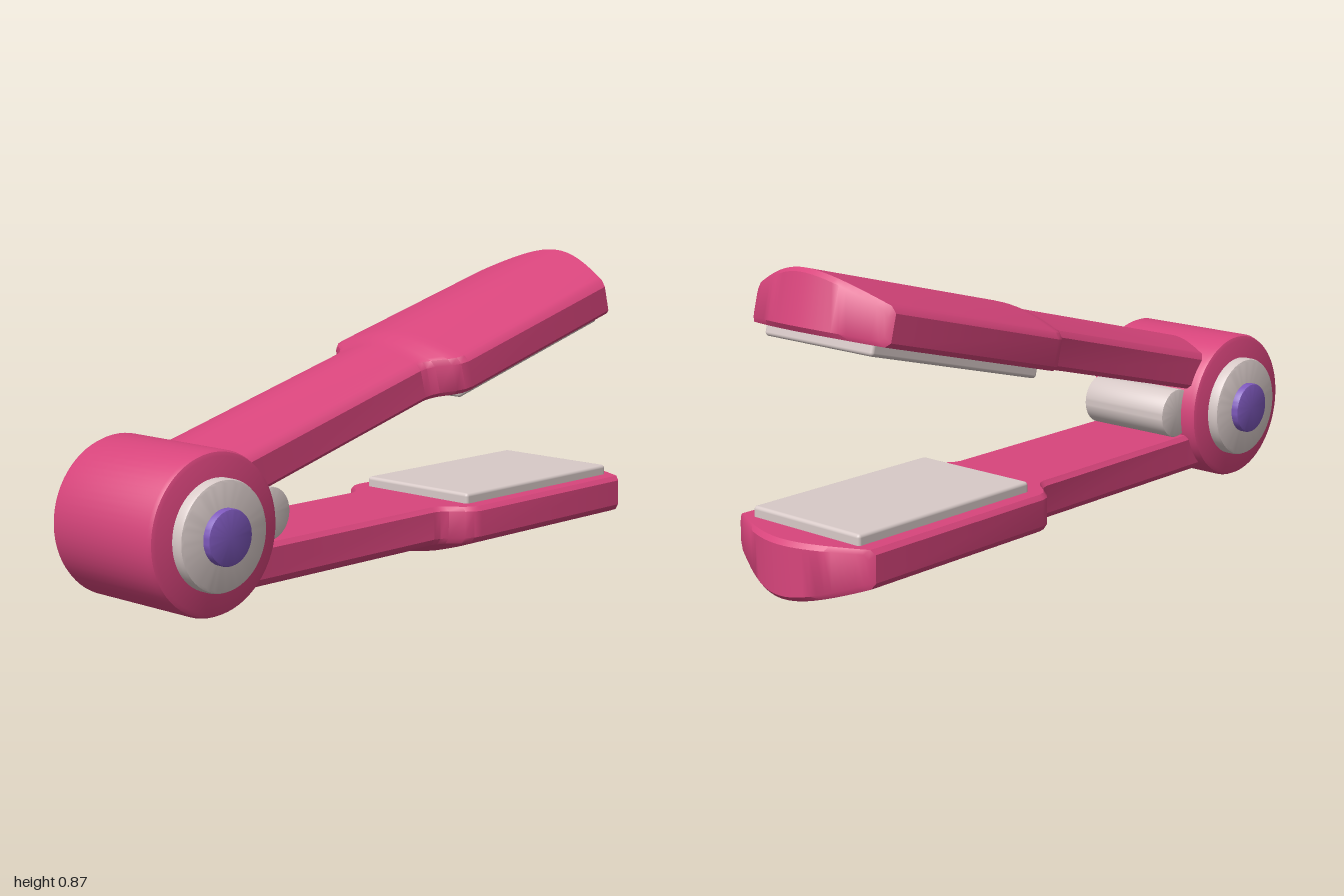
import * as THREE from 'three';
import { toCreasedNormals } from 'three/addons/utils/BufferGeometryUtils.js';
import { RoundedBoxGeometry } from 'three/addons/geometries/RoundedBoxGeometry.js';

const pink = new THREE.MeshStandardMaterial({ color: 0xd8457c });
pink.name = 'pink shell';
const cream = new THREE.MeshStandardMaterial({ color: 0xd8cac8 });
cream.name = 'warm grey';
const purple = new THREE.MeshStandardMaterial({ color: 0x7d58bb });
purple.name = 'purple';

const BEVEL = 0.013;
const HINGE = [-0.775, 0.235, 0];

function add(parent, name, geometry, material, x = 0, y = 0, z = 0) {
  const mesh = new THREE.Mesh(geometry, material);
  mesh.name = name;
  mesh.position.set(x, y, z);
  parent.add(mesh);
  return mesh;
}

// Bevelled cylinder lying along z
function drum(radius, half, bevel) {
  const profile = [
    [0, -half], [radius - bevel, -half], [radius - bevel * 0.3, -half + bevel * 0.3], [radius, -half + bevel],
    [radius, half - bevel], [radius - bevel * 0.3, half - bevel * 0.3], [radius - bevel, half], [0, half],
  ].map(([r, y]) => new THREE.Vector2(r, y));
  const geometry = new THREE.LatheGeometry(profile, 64);
  geometry.rotateX(Math.PI / 2);
  return toCreasedNormals(geometry, 0.5);
}

// Rounded ridge: 1 in the middle, 0 at the sides
function ridge(t) {
  const a = 0.6;
  return 1 - (Math.sqrt(t * t + a * a) - a) / (Math.sqrt(1 + a * a) - a);
}

// Arm lofted along x: flat inner face at y = 0, ridged outer face below
function armGeometry() {
  // position, half width, side depth, middle depth, tip bulge, edge inset
  const sections = [
    [0.06, 0.175, 0.108, 0.156, 0, 0],
    [0.89, 0.175, 0.108, 0.156, 0, 0],
    [0.91, 0.181, 0.108, 0.157, 0, 0],
    [0.93, 0.196, 0.107, 0.159, 0, 0],
    [0.96, 0.235, 0.105, 0.164, 0, 0],
    [0.98, 0.253, 0.104, 0.166, 0, 0],
    [1.005, 0.26, 0.103, 0.167, 0, 0],
    [1.667, 0.26, 0.103, 0.167, 0.09, 0],
    [1.68, 0.26, 0.103, 0.167, 0.09, BEVEL],
  ];
  const steps = 24;
  const columns = steps + 3;
  const ring = columns * 2;
  const positions = [];
  const index = [];
  for (const [x, width, side, depth, bulge, inset] of sections) {
    const w = width - inset;
    const outer = [];
    const inner = [];
    for (let j = 0; j < columns; j++) {
      const edge = j === 0 || j === columns - 1;
      const z = edge ? Math.sign(j - 1) * w : (w - BEVEL) * (2 * (j - 1) / steps - 1);
      const f = ridge(Math.abs(z) / w);
      const cut = inset + (edge ? BEVEL : 0);
      const px = x + bulge * f;
      outer.push([px, -(side + (depth - side) * f) + cut, z]);
      inner.unshift([px, -cut, z]);
    }
    positions.push(...outer.flat(), ...inner.flat());
  }
  for (let i = 0; i < sections.length - 1; i++) {
    for (let k = 0; k < ring; k++) {
      const a = i * ring + k;
      const b = i * ring + (k + 1) % ring;
      index.push(a, a + ring, b + ring, a, b + ring, b);
    }
  }
  // End caps, joined column by column
  const last = (sections.length - 1) * ring;
  for (let j = 0; j < columns - 1; j++) {
    const top = ring - 1 - j;
    index.push(last + j, last + top, last + top - 1, last + j, last + top - 1, last + j + 1);
    index.push(j, top - 1, top, j, j + 1, top - 1);
  }
  const geometry = new THREE.BufferGeometry();
  geometry.setAttribute('position', new THREE.Float32BufferAttribute(positions, 3));
  geometry.setIndex(index);
  return toCreasedNormals(geometry, 0.6);
}

// One arm with its heating plate
function makeArm(name) {
  const arm = new THREE.Group();
  arm.name = name;
  add(arm, 'armShell', armGeometry(), pink);
  add(arm, 'heatingPlate', new RoundedBoxGeometry(0.67, 0.06, 0.408, 3, 0.01), cream, 1.337, 0, 0);
  return arm;
}

export function createModel() {
  const model = new THREE.Group();
  model.name = 'hairStraightener';

  // Hinge barrel with side discs and pivot caps
  const hinge = new THREE.Group();
  hinge.name = 'hinge';
  hinge.position.set(...HINGE);
  model.add(hinge);
  add(hinge, 'hingeBarrel', drum(0.225, 0.204, 0.016), pink);
  for (const side of [1, -1]) {
    add(hinge, 'hingeDisc', drum(0.153, 0.03, 0.01), cream, 0, 0, side * 0.209);
    add(hinge, 'pivotCap', drum(0.077, 0.03, 0.006), purple, 0, 0, side * 0.232);
  }

  // Roller between the arms
  add(model, 'springRoller', drum(0.075, 0.153, 0.004), cream, -0.53, 0.247, 0);

  // Lower arm lies flat
  const lower = makeArm('lowerArm');
  lower.position.set(HINGE[0], 0.172, 0);
  model.add(lower);

  // Upper arm is turned over and swung open
  const swing = new THREE.Group();
  swing.name = 'upperArmSwing';
  swing.position.set(...HINGE);
  swing.rotation.z = THREE.MathUtils.degToRad(15);
  const upper = makeArm('upperArm');
  upper.rotation.x = Math.PI;
  upper.position.y = 0.028;
  swing.add(upper);
  model.add(swing);

  return model;
}
